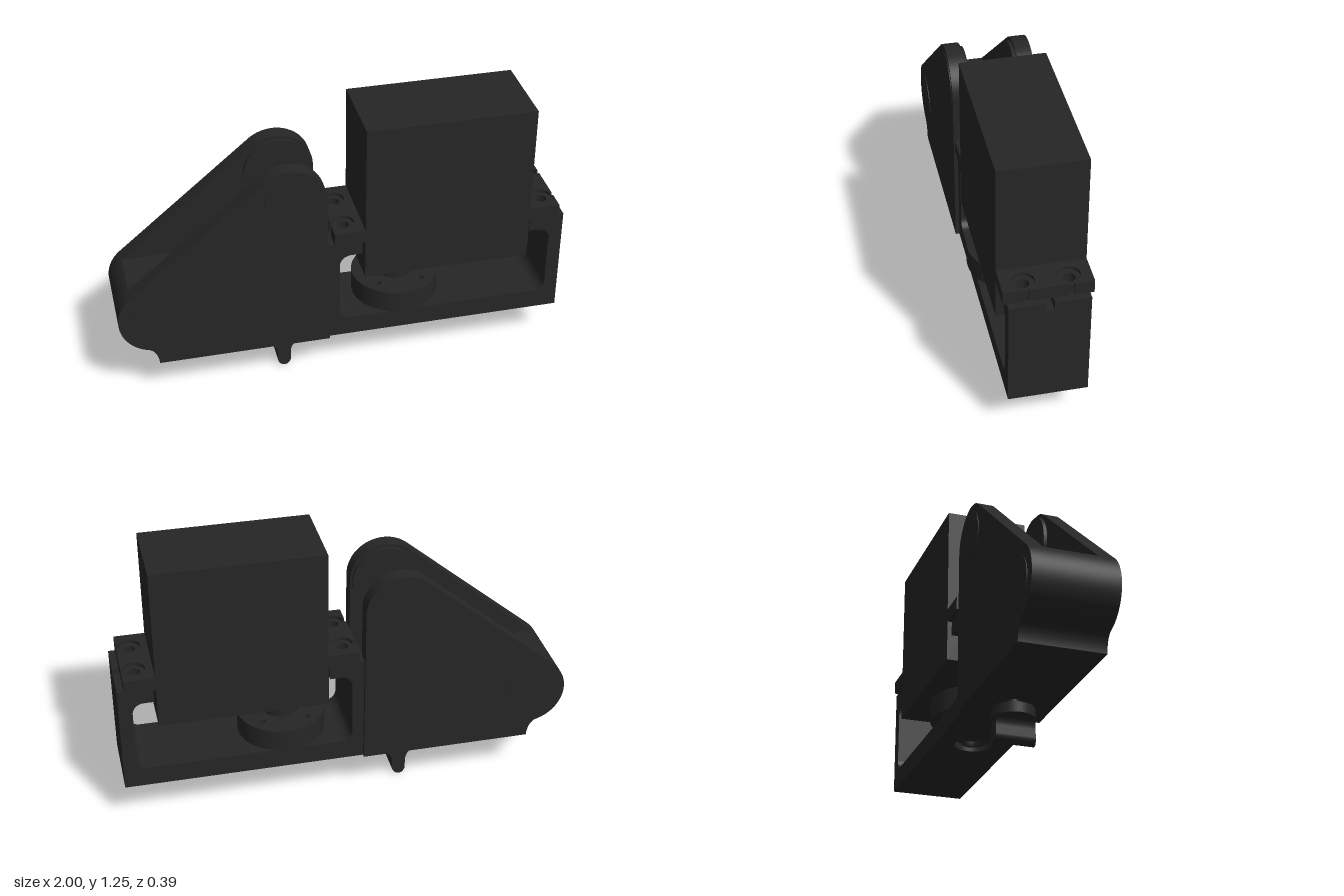
import * as THREE from 'three';

const mat = new THREE.MeshStandardMaterial({ color: 0x262626 });

function add(parent, name, geo, x = 0, y = 0, z = 0) {
  const m = new THREE.Mesh(geo, mat);
  m.name = name;
  m.position.set(x, y, z);
  parent.add(m);
  return m;
}
// Extrude an x-y shape along z, from z0 to z1
function extrudeZ(shape, z0, z1) {
  return new THREE.ExtrudeGeometry(shape, { depth: z1 - z0, bevelEnabled: false, curveSegments: 24 }).translate(0, 0, z0);
}
// Extrude a plan shape (x, z) upwards, from y0 to y1
function extrudeY(shape, y0, y1) {
  return new THREE.ExtrudeGeometry(shape, { depth: y1 - y0, bevelEnabled: false, curveSegments: 24 })
    .rotateX(-Math.PI / 2).translate(0, y0, 0);
}
function hole(shape, x, y, r) {
  shape.holes.push(new THREE.Path().absarc(x, y, r, 0, Math.PI * 2, true));
}
function rect(x0, y0, x1, y1) {
  return new THREE.Shape([[x0, y0], [x1, y0], [x1, y1], [x0, y1]].map(p => new THREE.Vector2(...p)));
}
const cyl = (r, h) => new THREE.CylinderGeometry(r, r, h, 48);

const R = 0.165, TILT = 2.27; // rounded ends of the arm and the angle of their common tangent

// Lower left contour shared by the side plates and the web
function armFoot(s) {
  s.absarc(-0.835, 0.43, R, TILT, Math.PI * 1.42, false);
  s.quadraticCurveTo(-0.84, 0.255, -0.835, 0.19);
  s.lineTo(-0.07, 0.19);
}

function buildArm() {
  const g = new THREE.Group();
  g.name = 'clevisArm';
  const plate = new THREE.Shape();
  plate.moveTo(-0.835 + R * Math.cos(TILT), 0.43 + R * Math.sin(TILT));
  armFoot(plate);
  plate.lineTo(-0.075, 0.93);
  plate.absarc(-0.24, 0.93, R, 0, TILT, false);
  plate.closePath();

  for (const s of [-1, 1]) {
    add(g, 'sidePlate', extrudeZ(plate, s > 0 ? 0.115 : -0.185, s > 0 ? 0.185 : -0.115));
    add(g, 'innerBoss', cyl(0.15, 0.016).rotateX(Math.PI / 2), -0.235, 0.93, s * 0.108);
    add(g, 'pivotCap', cyl(0.125, 0.01).rotateX(Math.PI / 2), -0.225, 0.945, s * 0.183);
    add(g, 'lowerCap', cyl(0.115, 0.01).rotateX(Math.PI / 2), -0.835, 0.43, s * 0.183);
  }

  // Solid web between the plates, with a pocket in its floor
  const web = new THREE.Shape();
  web.moveTo(-0.835 + R * Math.cos(TILT), 0.43 + R * Math.sin(TILT));
  armFoot(web);
  for (const [x, y] of [[-0.07, 0.556], [-0.445, 0.556], [-0.445, 0.32], [-0.63, 0.32], [-0.63, 0.556]]) web.lineTo(x, y);
  web.closePath();
  add(g, 'web', extrudeZ(web, -0.115, 0.115));
  return g;
}

function buildFrame() {
  const g = new THREE.Group();
  g.name = 'servoFrame';
  const r = 0.05;
  // C-shaped bracket with rounded inside corners
  const c = new THREE.Shape();
  c.moveTo(-0.075, 0.22);
  c.lineTo(1, 0.22);
  c.lineTo(1, 0.65);
  c.lineTo(0.845, 0.65);
  c.lineTo(0.845, 0.62);
  c.absarc(0.94 - r, 0.62 - r, r, Math.PI / 2, 0, true);
  c.absarc(0.94 - r, 0.28 + r, r, 0, -Math.PI / 2, true);
  c.absarc(-0.02 + r, 0.28 + r, r, -Math.PI / 2, -Math.PI, true);
  c.absarc(-0.02 + r, 0.62 - r, r, Math.PI, Math.PI / 2, true);
  c.lineTo(0.08, 0.62);
  c.lineTo(0.08, 0.65);
  c.lineTo(-0.075, 0.65);
  c.closePath();
  add(g, 'bracket', extrudeZ(c, -0.168, 0.168));

  // Underside with a round recess and a bearing ring in it
  const base = rect(-0.075, -0.168, 1, 0.168);
  hole(base, 0.272, 0, 0.085);
  add(g, 'underside', extrudeY(base, 0.19, 0.22));
  const ring = [[0.04, 0.225], [0.04, 0.197], [0.055, 0.197], [0.07, 0.225]].map(p => new THREE.Vector2(...p));
  const bearing = add(g, 'bearingRing', new THREE.LatheGeometry(ring.reverse(), 48), 0.272);
  bearing.material = mat.clone();
  bearing.material.side = THREE.DoubleSide;

  // Lug tops, split by a cable groove
  for (const [x0, x1] of [[-0.075, 0.08], [0.845, 1]])
    for (const s of [-1, 1])
      add(g, 'lugTop', new THREE.BoxGeometry(x1 - x0, 0.04, 0.15), (x0 + x1) / 2, 0.67, s * 0.093);
  return g;
}

function buildServo() {
  const g = new THREE.Group();
  g.name = 'servo';
  add(g, 'servoBody', new THREE.BoxGeometry(0.745, 0.74, 0.37), 0.4625, 0.875, 0);

  // Mounting ears with open keyhole slots; outline drawn for the +x side and mirrored
  const a = Math.asin(0.01 / 0.048), hx = 0.452;
  const ear = new THREE.Shape();
  ear.moveTo(0.365, -0.185);
  ear.lineTo(0.508, -0.185);
  for (const z of [-0.093, 0.093]) {
    ear.lineTo(0.508, z - 0.01);
    ear.absarc(hx, z, 0.048, -a, -Math.PI * 2 + a, true);
    ear.lineTo(0.508, z + 0.01);
  }
  ear.lineTo(0.508, 0.185);
  ear.lineTo(0.365, 0.185);
  ear.closePath();
  const washer = new THREE.Shape().absarc(0, 0, 0.048, 0, Math.PI * 2);
  hole(washer, 0, 0, 0.026);
  for (const s of [-1, 1]) {
    const e = add(g, 'mountingEar', extrudeY(ear, 0.69, 0.75), 0.4625);
    if (s < 0) e.rotation.y = Math.PI;
    for (const z of [-0.093, 0.093])
      add(g, 'screwGrommet', extrudeY(washer, 0.69, 0.735), 0.4625 + s * hx, 0, z);
  }

  // Output shaft and drilled horn
  add(g, 'outputShaft', cyl(0.053, 0.06), 0.272, 0.48, 0);
  add(g, 'hornCollar', cyl(0.08, 0.07), 0.272, 0.425, 0);
  const horn = new THREE.Shape().absarc(0, 0, 0.195, 0, Math.PI * 2);
  for (let i = 0; i < 4; i++) {
    const t = i * Math.PI / 2 + Math.PI / 4;
    hole(horn, 0.14 * Math.cos(t), 0.14 * Math.sin(t), 0.014);
  }
  add(g, 'hornDisc', extrudeY(horn, 0.295, 0.395), 0.272);
  add(g, 'hornSpacer', cyl(0.075, 0.03), 0.272, 0.285, 0);
  return g;
}

function buildThumbScrew() {
  const g = new THREE.Group();
  g.name = 'thumbScrew';
  g.position.x = -0.26;
  add(g, 'stem', cyl(0.03, 0.06), 0, 0.175, 0);
  add(g, 'cap', cyl(0.092, 0.045), 0, 0.1325, 0);
  // Grip flaring into the cap, its ends following the cap's round edge
  const w = new THREE.Shape();
  w.moveTo(-0.065, 0.112);
  w.quadraticCurveTo(-0.03, 0.105, -0.03, 0.065);
  w.lineTo(-0.03, 0.03);
  w.absarc(0, 0.03, 0.03, Math.PI, Math.PI * 2, false);
  w.lineTo(0.03, 0.065);
  w.quadraticCurveTo(0.03, 0.105, 0.065, 0.112);
  w.closePath();
  const geo = extrudeZ(w, -0.09, 0.09), p = geo.attributes.position;
  for (let i = 0; i < p.count; i++)
    p.setZ(i, Math.sign(p.getZ(i)) * Math.sqrt(0.092 ** 2 - p.getX(i) ** 2));
  add(g, 'grip', geo);
  return g;
}

export function createModel() {
  const model = new THREE.Group();
  model.name = 'servoMount';
  model.add(buildArm(), buildFrame(), buildServo(), buildThumbScrew());
  return model;
}
